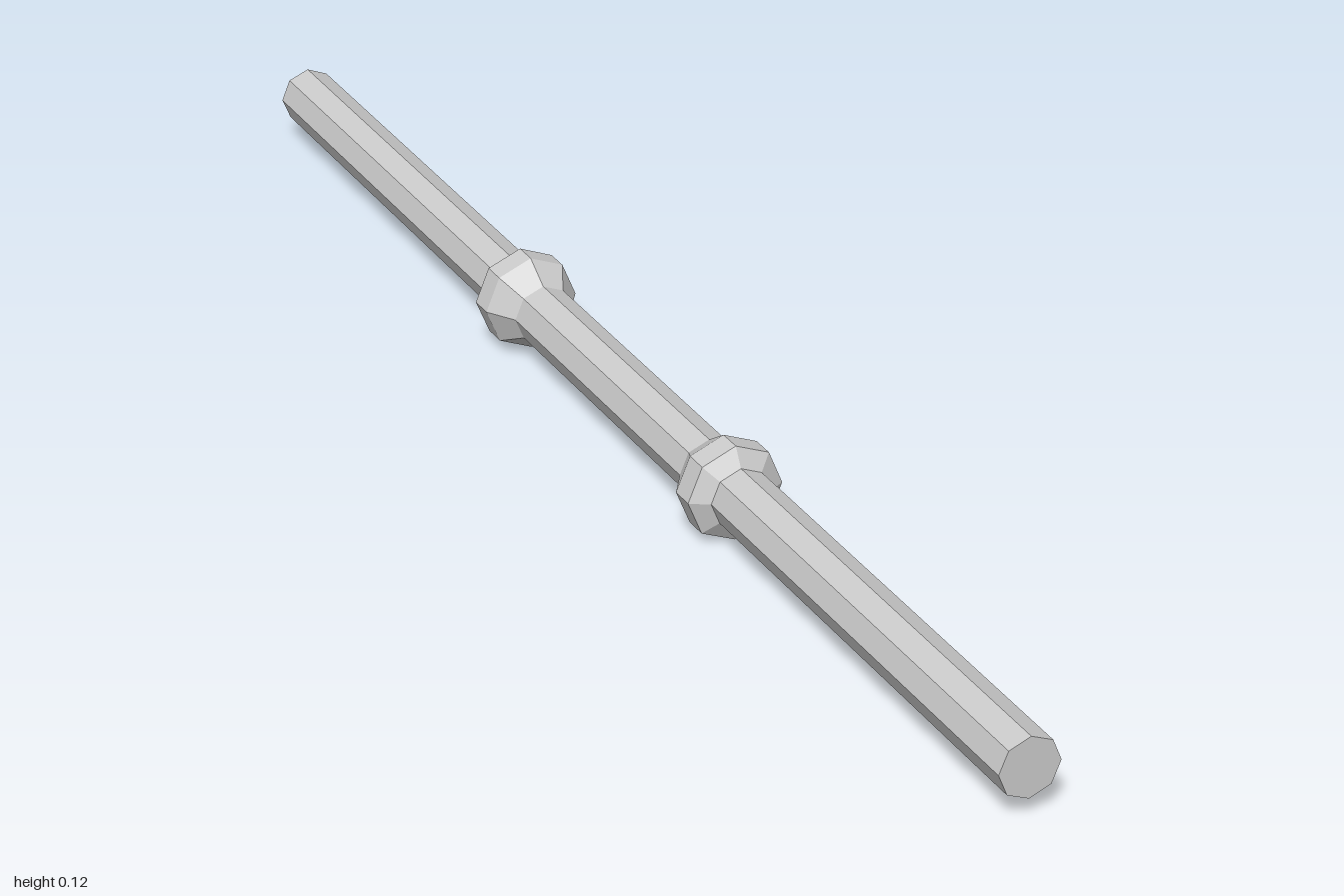
import * as THREE from 'three';

const SIDES = 8;
const AXIS_HEIGHT = 0.0625;
const SHAFT_RADIUS = 0.039;
const COLLAR_RADIUS = 0.0625;

export function createModel() {
  const model = new THREE.Group();
  model.name = 'collaredRod';
  const material = new THREE.MeshStandardMaterial({ color: 0xcccccc, flatShading: true });

  const addPart = (name, geometry) => {
    const mesh = new THREE.Mesh(geometry, material);
    mesh.name = name;
    mesh.position.y = AXIS_HEIGHT;
    model.add(mesh);
    return mesh;
  };

  // Octagonal shaft along z
  addPart('shaft', new THREE.CylinderGeometry(SHAFT_RADIUS, SHAFT_RADIUS, 2, SIDES).rotateX(Math.PI / 2));

  // Collar: long taper towards the middle, flat band, short bevel outwards
  const profile = [
    [SHAFT_RADIUS, 0.233],
    [COLLAR_RADIUS, 0.27],
    [COLLAR_RADIUS, 0.302],
    [SHAFT_RADIUS, 0.316],
  ].map(([r, z]) => new THREE.Vector2(r, z));
  const collar = new THREE.LatheGeometry(profile, SIDES).rotateX(Math.PI / 2);

  addPart('frontCollar', collar);
  addPart('backCollar', collar).rotation.y = Math.PI;

  return model;
}
